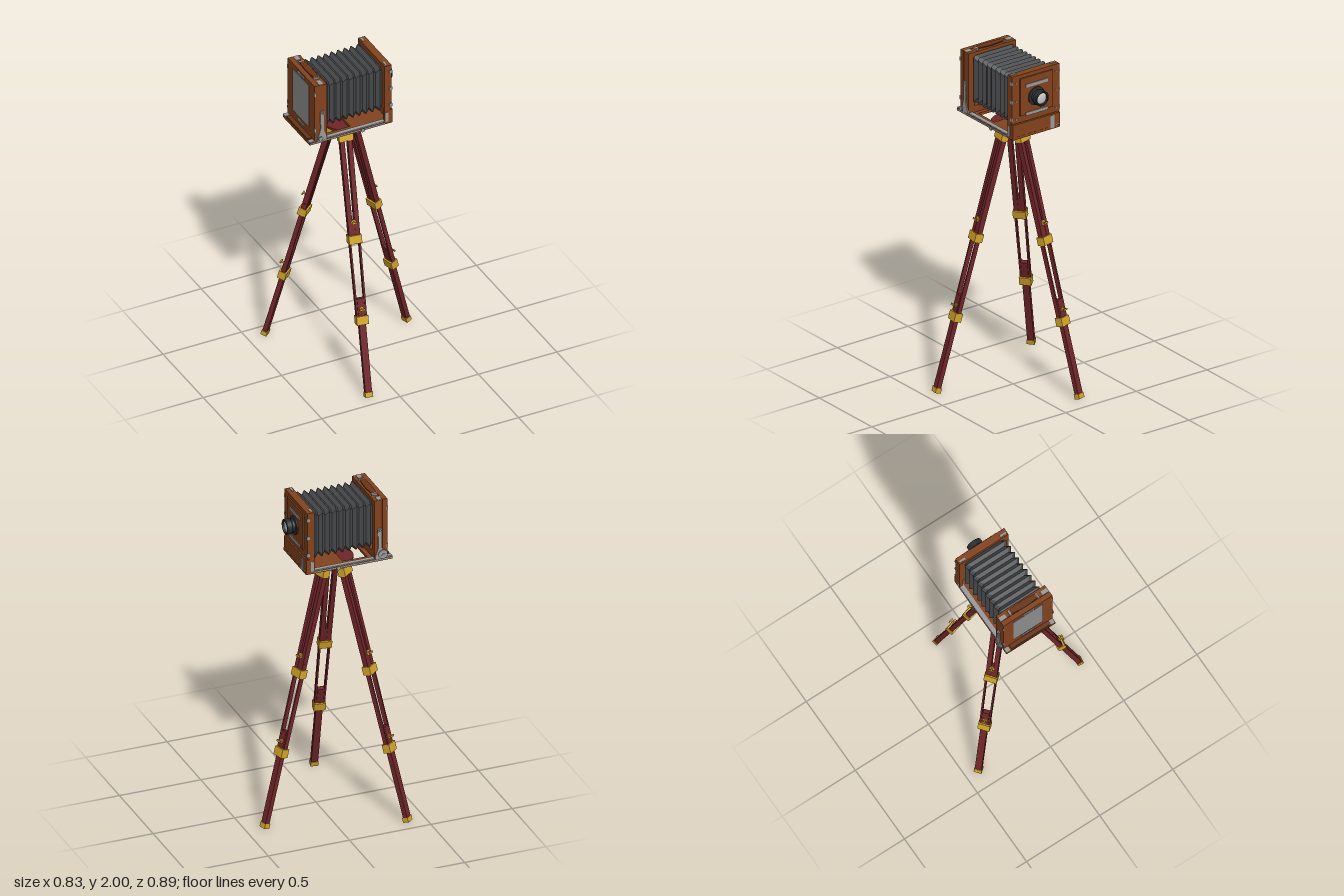
import * as THREE from 'three';

const mat = (color, extra = {}) => Object.assign(new THREE.MeshStandardMaterial({ color }), extra);
const WOOD = mat(0x82421d), DARKWOOD = mat(0x6a3517), RED = mat(0x6f2528), GOLD = mat(0xd2a32a);
const METAL = mat(0x9a9a9a), BLACK = mat(0x2b2d2f), GLASS = mat(0xcccccc), PANEL = mat(0x8c8c8c);
const CLOTH = mat(0x48494b, { flatShading: true, side: THREE.DoubleSide });

const CZ = -0.053; // centre line of the camera body
const HALF = 0.167; // half width of the camera body

function add(parent, name, geo, material, x = 0, y = 0, z = 0) {
  const m = new THREE.Mesh(geo, material);
  m.name = name;
  m.position.set(x, y, z);
  parent.add(m);
  return m;
}

// Box from its extents
function block(parent, name, material, x0, x1, y0, y1, z0, z1) {
  return add(parent, name, new THREE.BoxGeometry(x1 - x0, y1 - y0, z1 - z0), material,
    (x0 + x1) / 2, (y0 + y1) / 2, (z0 + z1) / 2);
}

// Cylinder lying along 'x', 'y' or 'z'
function rod(parent, name, material, r, len, axis, x, y, z, seg = 20, r2 = r) {
  const g = new THREE.CylinderGeometry(r, r2, len, seg);
  if (axis === 'x') g.rotateZ(-Math.PI / 2);
  if (axis === 'z') g.rotateX(Math.PI / 2);
  return add(parent, name, g, material, x, y, z);
}

// Rectangular frame or pierced board, extruded along z of the shape plane
function piercedBoard(w, h, depth, holes) {
  const rect = (T, x0, x1, y0, y1) => {
    const p = new T();
    p.moveTo(x0, y0); p.lineTo(x1, y0); p.lineTo(x1, y1); p.lineTo(x0, y1); p.closePath();
    return p;
  };
  const s = rect(THREE.Shape, -w / 2, w / 2, -h / 2, h / 2);
  holes.forEach(b => s.holes.push(rect(THREE.Path, ...b)));
  return new THREE.ExtrudeGeometry(s, { depth, bevelEnabled: false });
}

// Pleated tube of chamfered rectangular rings
function bellowsGeometry(x0, x1, folds) {
  const pos = [], index = [], n = folds * 2;
  for (let i = 0; i <= n; i++) {
    const out = i % 2, hy = out ? 0.149 : 0.133, hz = out ? 0.143 : 0.129, c = out ? 0.012 : 0.022;
    const x = x0 + (x1 - x0) * i / n;
    for (const [y, z] of [[hy, hz - c], [hy - c, hz], [c - hy, hz], [-hy, hz - c],
      [-hy, c - hz], [c - hy, -hz], [hy - c, -hz], [hy, c - hz]]) pos.push(x, 1.825 + y, CZ + z);
  }
  for (let i = 0; i < n; i++) for (let k = 0; k < 8; k++) {
    const a = i * 8 + k, b = i * 8 + (k + 1) % 8;
    index.push(a, b, a + 8, b, b + 8, a + 8);
  }
  const g = new THREE.BufferGeometry();
  g.setAttribute('position', new THREE.Float32BufferAttribute(pos, 3));
  g.setIndex(index);
  g.computeVertexNormals();
  return g;
}

// Leg built upright (y along the leg, z outward), then leaned between foot and top
function tripodLeg(foot, top) {
  const leg = new THREE.Group();
  leg.name = 'tripodLeg';
  const f = new THREE.Vector3(...foot), up = new THREE.Vector3(...top).sub(f);
  const k = up.length() / up.y;
  const out = new THREE.Vector3(-up.x, 0, -up.z).normalize();
  up.normalize();
  const side = up.clone().cross(out).normalize();
  out.crossVectors(side, up);
  leg.applyMatrix4(new THREE.Matrix4().makeBasis(side, up, out).setPosition(f));
  const piece = (name, m, w, y0, y1, d) => block(leg, name, m, -w / 2, w / 2, y0 * k, y1 * k, -d / 2, d / 2);

  piece('footCap', GOLD, 0.046, 0.004, 0.032, 0.036);
  piece('lowerLeg', RED, 0.04, 0.025, 0.575, 0.028);
  piece('lowerCollar', GOLD, 0.07, 0.425, 0.475, 0.048);
  piece('upperCollar', GOLD, 0.077, 0.895, 0.943, 0.052);
  piece('upperBlock', RED, 0.03, 0.93, 1.03, 0.028);
  piece('topCollar', GOLD, 0.086, 1.49, 1.54, 0.046);
  for (const s of [-1, 1]) {
    // sliding rails spread slightly toward the top
    const rail = block(leg, 'slidingRail', RED, -0.005, 0.005, 0.44 * k, 0.98 * k, -0.013, 0.013);
    rail.position.x = s * 0.0275;
    rail.rotation.z = -s * 0.006;
    const upper = block(leg, 'upperRail', RED, -0.0135, 0.0135, 0.93 * k, 1.51 * k, -0.016, 0.016);
    upper.position.x = s * 0.0215;
    upper.rotation.z = -s * 0.006;
    block(leg, 'hingeLug', GOLD, s * 0.025 - 0.008, s * 0.025 + 0.008, 1.53 * k, 1.565 * k, -0.015, 0.015);
  }
  // clamping screws on the outer face
  for (const [y, r] of [[0.515, 0.008], [1.018, 0.011]]) {
    rod(leg, 'clampStem', GOLD, 0.005, 0.03, 'z', 0, y * k, 0.024, 12);
    rod(leg, 'clampPlate', GOLD, r + 0.004, 0.005, 'z', 0, y * k, 0.016);
    block(leg, 'clampWing', GOLD, -0.016, 0.016, y * k - 0.005, y * k + 0.005, 0.034, 0.041);
  }
  return leg;
}

function tripod() {
  const g = new THREE.Group();
  g.name = 'tripod';
  g.add(tripodLeg([0.392, 0, -0.18], [-0.01, 1.52, -0.07]),
    tripodLeg([-0.163, 0, 0.425], [-0.098, 1.52, 0.004]),
    tripodLeg([-0.392, 0, -0.422], [-0.135, 1.52, -0.1]));
  rod(g, 'headPlate', RED, 0.118, 0.014, 'y', -0.083, 1.588, -0.05, 40);
  rod(g, 'headHub', BLACK, 0.058, 0.034, 'y', -0.083, 1.564, -0.054, 24, 0.05);
  rod(g, 'centreScrew', GOLD, 0.018, 0.04, 'y', -0.083, 1.54, -0.054);
  return g;
}

function bed(cam) {
  // floor board with an opening behind the middle
  const board = piercedBoard(0.53, HALF * 2, 0.016, [[-0.13, 0.02, -0.115, 0.115]]);
  board.rotateX(-Math.PI / 2);
  add(cam, 'bedBoard', board, WOOD, -0.114, 1.596, CZ);
  for (const s of [-1, 1]) {
    block(cam, 'bedRail', METAL, -0.379, 0.15, 1.611, 1.617, CZ + s * 0.1525 - 0.0135, CZ + s * 0.1525 + 0.0135);
    block(cam, 'bedEdge', METAL, -0.375, 0.10, 1.601, 1.608, CZ + s * 0.168 - 0.001, CZ + s * 0.168 + 0.001);
    rod(cam, 'focusShaft', METAL, 0.004, 0.012, 'z', -0.045, 1.606, CZ + s * 0.172, 12);
    rod(cam, 'focusKnob', METAL, 0.012, 0.005, 'z', -0.045, 1.606, CZ + s * 0.178);
  }
}

function rearStandard(cam) {
  const frame = piercedBoard(HALF * 2, 0.373, 0.045, [[-0.125, 0.125, -0.145, 0.135]]);
  frame.rotateY(Math.PI / 2);
  add(cam, 'rearFrame', frame, WOOD, -0.315, 1.7985, CZ);
  block(cam, 'glassHolder', WOOD, -0.348, -0.318, 1.614, 1.988, CZ - HALF, CZ + HALF);
  block(cam, 'groundGlass', PANEL, -0.352, -0.347, 1.675, 1.955, CZ - 0.1, CZ + 0.1);
  block(cam, 'rearSill', DARKWOOD, -0.374, -0.348, 1.612, 1.62, CZ - 0.13, CZ + 0.13);
  for (const y of [1.65, 1.97]) block(cam, 'glassClip', METAL, -0.354, -0.347, y - 0.005, y + 0.005, CZ - 0.04, CZ + 0.04);

  // tapered side brackets with a round top
  const s = new THREE.Shape();
  s.moveTo(-0.034, 0); s.lineTo(0.028, 0); s.lineTo(0.028, 0.015); s.lineTo(0.008, 0.07); s.lineTo(0.011, 0.18);
  s.absarc(0, 0.185, 0.013, 0, Math.PI);
  s.lineTo(-0.011, 0.08); s.lineTo(-0.024, 0.035);
  s.closePath();
  const bracket = new THREE.ExtrudeGeometry(s, { depth: 0.006, bevelEnabled: false });
  for (const d of [-1, 1]) {
    const z = CZ + d * HALF;
    add(cam, 'sideBracket', bracket, METAL, -0.3, 1.612, d > 0 ? z : z - 0.006);
    rod(cam, 'bracketStem', METAL, 0.005, 0.02, 'z', -0.318, 1.635, z + d * 0.012, 12);
    rod(cam, 'bracketKnob', METAL, 0.014, 0.006, 'z', -0.318, 1.635, z + d * 0.02);
    rod(cam, 'bracketPin', METAL, 0.007, 0.01, 'z', -0.3, 1.797, z + d * 0.008, 12);
    for (const y of [1.69, 1.93]) block(cam, 'sideCatch', METAL, -0.35, -0.342, y - 0.012, y + 0.012, z - 0.006, z + 0.004);
    // clips on the top edge
    block(cam, 'topClip', METAL, -0.316, -0.29, 1.984, 1.989, CZ + d * 0.143 - 0.022, CZ + d * 0.143 + 0.022);
    block(cam, 'handleClip', METAL, -0.317, -0.281, 1.984, 1.996, CZ + d * 0.094 - 0.006, CZ + d * 0.094 + 0.006);
  }
  rod(cam, 'rearLockKnob', METAL, 0.028, 0.006, 'z', -0.315, 1.645, CZ - HALF - 0.016, 24);

  // leather carrying strap, widest in the middle
  const h = new THREE.Shape();
  h.moveTo(-0.012, -0.095);
  h.quadraticCurveTo(-0.03, 0, -0.012, 0.095); h.lineTo(0.012, 0.095);
  h.quadraticCurveTo(0.03, 0, 0.012, -0.095);
  const strap = new THREE.ExtrudeGeometry(h, { depth: 0.006, bevelEnabled: false, curveSegments: 10 });
  strap.rotateX(-Math.PI / 2);
  add(cam, 'carryStrap', strap, DARKWOOD, -0.299, 1.99, CZ);
}

function frontStandard(cam) {
  block(cam, 'frontFrame', WOOD, 0.1, 0.144, 1.692, 1.988, CZ - HALF, CZ + HALF);
  block(cam, 'frontFlap', WOOD, 0.128, 0.15, 1.598, 1.688, CZ - HALF, CZ + HALF);
  block(cam, 'lensBoard', WOOD, 0.14, 0.152, 1.735, 1.965, CZ - 0.115, CZ + 0.115);
  for (const y of [1.738, 1.913]) block(cam, 'boardSlide', METAL, 0.15, 0.156, y - 0.01, y + 0.01, CZ - 0.077, CZ + 0.077);
  block(cam, 'flapHinge', METAL, 0.149, 0.153, 1.602, 1.68, -0.178, -0.152);
  for (const s of [-1, 1]) {
    const z = CZ + s * HALF;
    block(cam, 'frontPost', WOOD, 0.1, 0.13, 1.612, 1.7, Math.min(z, z - s * 0.02), Math.max(z, z - s * 0.02));
    block(cam, 'frontBracket', METAL, 0.104, 0.122, 1.612, 1.675, z - 0.003, z + 0.003);
    block(cam, 'cornerPlate', METAL, 0.108, 0.12, 1.984, 1.991, CZ + s * 0.14 - 0.02, CZ + s * 0.14 + 0.02);
    for (const y of [1.72, 1.83, 1.945]) {
      rod(cam, 'boardScrew', METAL, 0.005, 0.006, 'x', 0.146, y, CZ + s * 0.14, 10);
      block(cam, 'edgePlate', METAL, 0.128, 0.147, y - 0.01, y + 0.01, z - 0.003, z + 0.003);
    }
  }
}

function lens(cam) {
  // barrel profile as radius and distance from the board
  const p = [[0.056, 0], [0.056, 0.008], [0.04, 0.01], [0.038, 0.024], [0.046, 0.03], [0.046, 0.058],
    [0.043, 0.061], [0.036, 0.061], [0.034, 0.046], [0, 0.046]].map(a => new THREE.Vector2(...a));
  const g = new THREE.LatheGeometry(p, 32).toNonIndexed();
  g.rotateZ(-Math.PI / 2);
  g.computeVertexNormals();
  add(cam, 'lensBarrel', g, Object.assign(BLACK.clone(), { side: THREE.DoubleSide }), 0.152, 1.835, -0.05);
  const dome = new THREE.SphereGeometry(0.035, 28, 10, 0, Math.PI * 2, 0, Math.PI / 2);
  dome.scale(1, 0.3, 1);
  dome.rotateZ(-Math.PI / 2);
  add(cam, 'lensGlass', dome, GLASS, 0.2, 1.835, -0.05);
}

export function createModel() {
  const model = new THREE.Group();
  model.name = 'fieldCameraOnTripod';
  const cam = new THREE.Group();
  cam.name = 'camera';
  bed(cam);
  rearStandard(cam);
  frontStandard(cam);
  lens(cam);
  add(cam, 'bellows', bellowsGeometry(-0.275, 0.102, 9), CLOTH);
  model.add(cam, tripod());
  return model;
}
